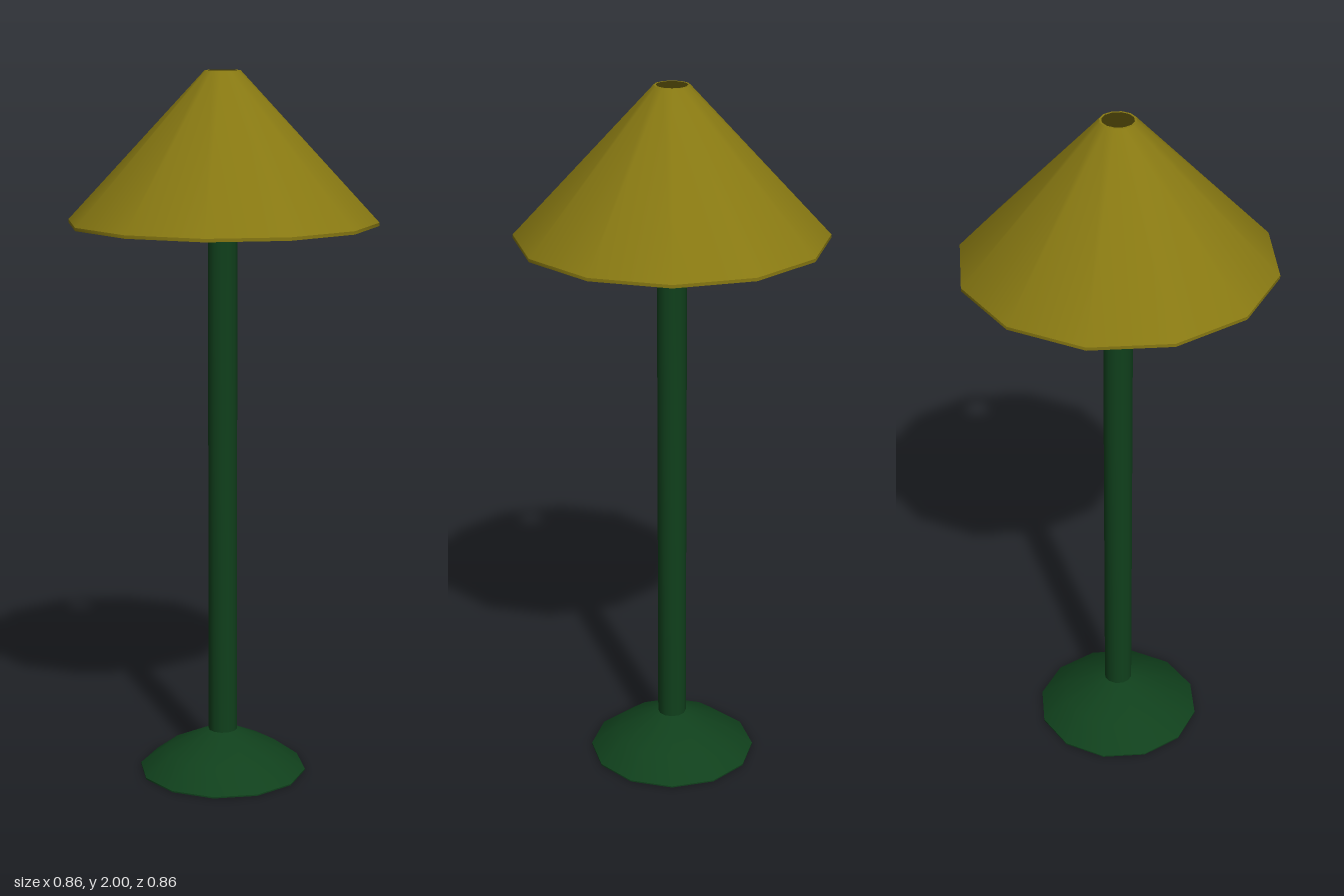
import * as THREE from 'three';
import { toCreasedNormals } from 'three/addons/utils/BufferGeometryUtils.js';

const SIDES = 12;
const CREASE = 0.6; // keeps the round smooth, and rims and caps sharp

const green = new THREE.MeshStandardMaterial({ color: 0x10401c });
const olive = new THREE.MeshStandardMaterial({ color: 0x877812 });

// Turned part from a [radius, height] profile; outer side runs upwards
function turned(name, profile, material) {
  const points = profile.map(([r, y]) => new THREE.Vector2(r, y));
  const geometry = toCreasedNormals(new THREE.LatheGeometry(points, SIDES), CREASE);
  const mesh = new THREE.Mesh(geometry, material);
  mesh.name = name;
  return mesh;
}

export function createModel() {
  const lamp = new THREE.Group();
  lamp.name = 'floorLamp';

  // Domed foot with a flat underside
  lamp.add(turned('base', [[0, 0], [0.24, 0], [0.24, 0.004], [0.165, 0.06], [0.04, 0.12], [0, 0.12]], green));

  // Pole, ending inside the shade
  lamp.add(turned('pole', [[0, 0.11], [0.041, 0.11], [0.041, 1.69], [0, 1.69]], green));

  // Thin hollow shade, open at both ends
  lamp.add(turned('shade', [
    [0.424, 1.583], [0.43, 1.583], [0.43, 1.592],
    [0.049, 2], [0.043, 2], [0.424, 1.583],
  ], olive));

  return lamp;
}
